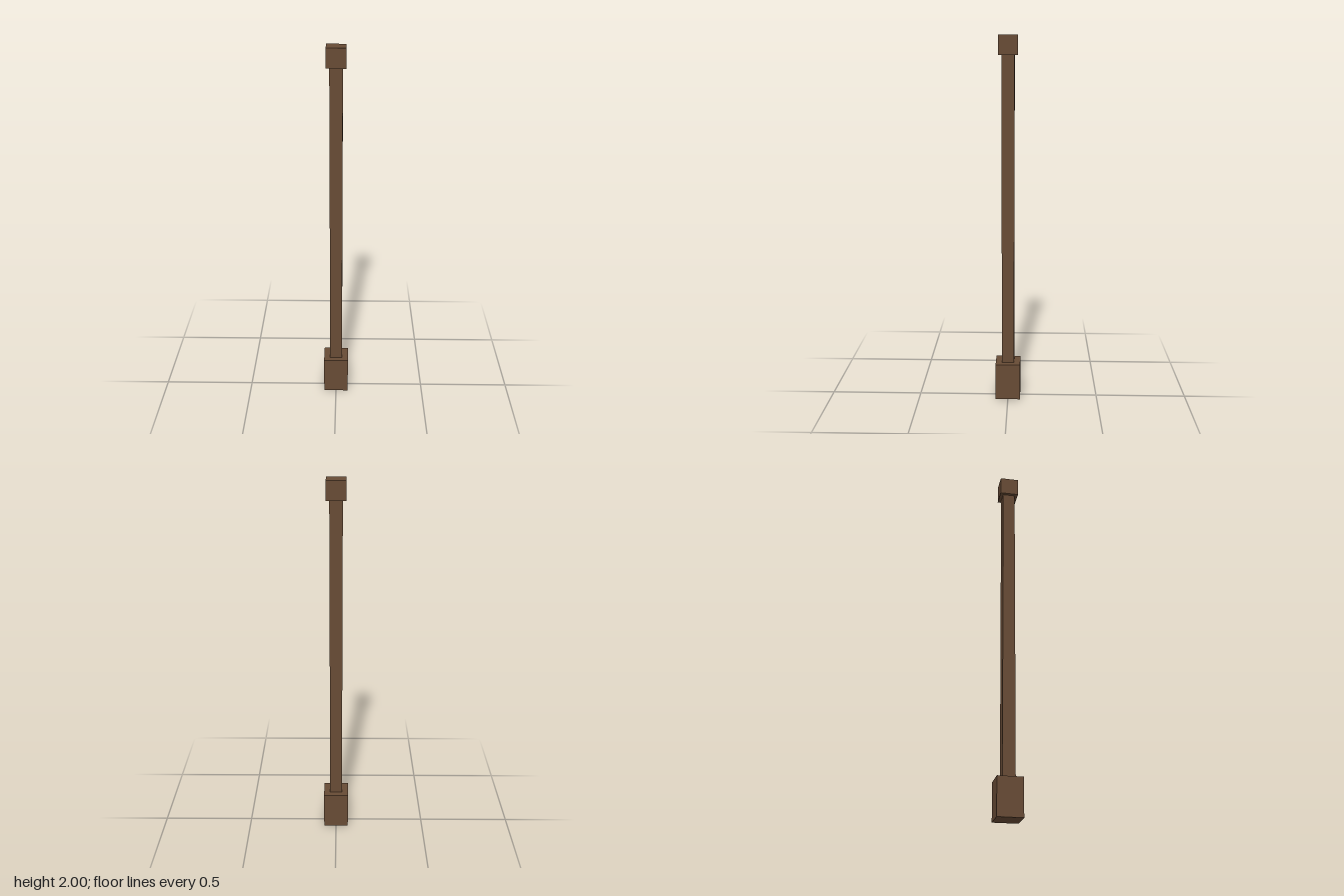
import * as THREE from 'three';

const wood = new THREE.MeshStandardMaterial({ color: 0x674b35 });
wood.name = 'brown wood';

// Square block of a given width, spanning two heights
function block(name, width, bottom, top) {
  const mesh = new THREE.Mesh(new THREE.BoxGeometry(width, top - bottom, width), wood);
  mesh.name = name;
  mesh.position.y = (bottom + top) / 2;
  return mesh;
}

export function createModel() {
  const post = new THREE.Group();
  post.name = 'post';
  post.add(
    block('base', 0.137, 0, 0.205),
    block('shaft', 0.068, 0.205, 1.898),
    block('cap', 0.102, 1.898, 2),
  );
  return post;
}
